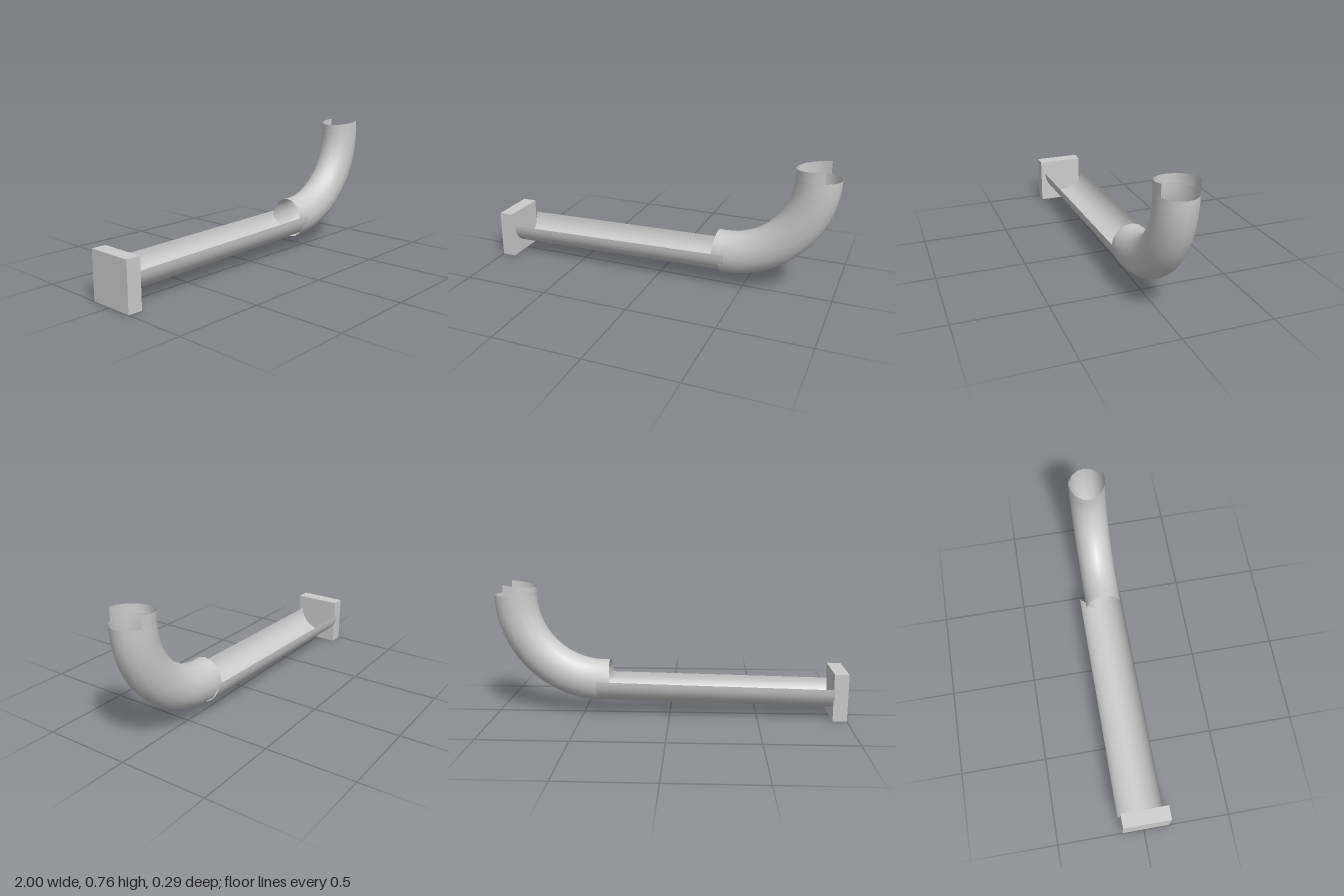
import * as THREE from 'three';

const material = new THREE.MeshStandardMaterial({ color: 0xcccccc, side: THREE.DoubleSide });

// Thin smooth surface through rows of points; each row is one cross-section.
function loft(name, rows, closed) {
  const n = rows[0].length;
  const indices = [];
  for (let i = 0; i < rows.length - 1; i++) {
    for (let j = 0; j < (closed ? n : n - 1); j++) {
      const k = (j + 1) % n;
      const a = i * n + j, b = i * n + k, c = a + n, d = b + n;
      indices.push(a, b, c, b, d, c);
    }
  }
  const geometry = new THREE.BufferGeometry().setFromPoints(rows.flat());
  geometry.setIndex(indices);
  geometry.computeVertexNormals();
  const mesh = new THREE.Mesh(geometry, material);
  mesh.name = name;
  return mesh;
}

// Half-round cross-section, running from the back rim under to the front rim.
function troughSection(x, y, z, ry, rz) {
  const row = [];
  for (let j = 0; j <= 16; j++) {
    const a = (j / 16) * Math.PI;
    row.push(new THREE.Vector3(x, y - ry * Math.sin(a), z - rz * Math.cos(a)));
  }
  return row;
}

// Bent pipe: oval section swept through a quarter turn, with stepped ends.
function elbowRows() {
  const sides = 16, steps = 24, cx = 0.38, cy = 0.69, cz = -0.004;
  const bend = 0.495, rIn = 0.121, rz = 0.106;
  const ring = (place) => Array.from({ length: sides }, (_, j) => {
    const a = (j / sides) * Math.PI * 2;
    const radius = bend + rIn * Math.cos(a);
    return place(radius, cz + rz * Math.sin(a), Math.cos(a));
  });
  const rows = [];
  // straight lip over the trough, shorter along the bottom
  rows.push(ring((r, z, c) => new THREE.Vector3(
    c > 0.3 ? 0.375 : 0.335 + 0.01 * Math.max(0, -c), cy - r, z)));
  for (let i = 0; i <= steps; i++) {
    const t = (i / steps) * Math.PI / 2;
    rows.push(ring((r, z) => new THREE.Vector3(cx + r * Math.sin(t), cy - r * Math.cos(t), z)));
  }
  return { rows, ring, cx, cy };
}

// Upright lip at the mouth, left open on the outer side of the bend.
function lipRows({ ring, cx, cy }) {
  const low = ring((r, z) => new THREE.Vector3(cx + r, cy, z)).slice(3, 14);
  const high = low.map((p) => new THREE.Vector3(p.x, 0.735 + 0.13 * (p.x - 0.755), p.z));
  return [low, high];
}

export function createModel() {
  const model = new THREE.Group();
  model.name = 'pipeWithTrough';

  // square end block
  const block = new THREE.Mesh(new THREE.BoxGeometry(0.08, 0.272, 0.27), material);
  block.name = 'endBlock';
  block.position.set(-0.96, 0.136, 0.01);
  model.add(block);

  // open half pipe, rising gently towards the elbow
  model.add(loft('trough', [
    troughSection(-0.925, 0.188, -0.012, 0.13, 0.131),
    troughSection(0.41, 0.216, -0.017, 0.132, 0.125),
  ], false));

  // bent pipe and its broken mouth
  const elbow = elbowRows();
  model.add(loft('elbow', elbow.rows, true));
  model.add(loft('mouthLip', lipRows(elbow), false));

  return model;
}
